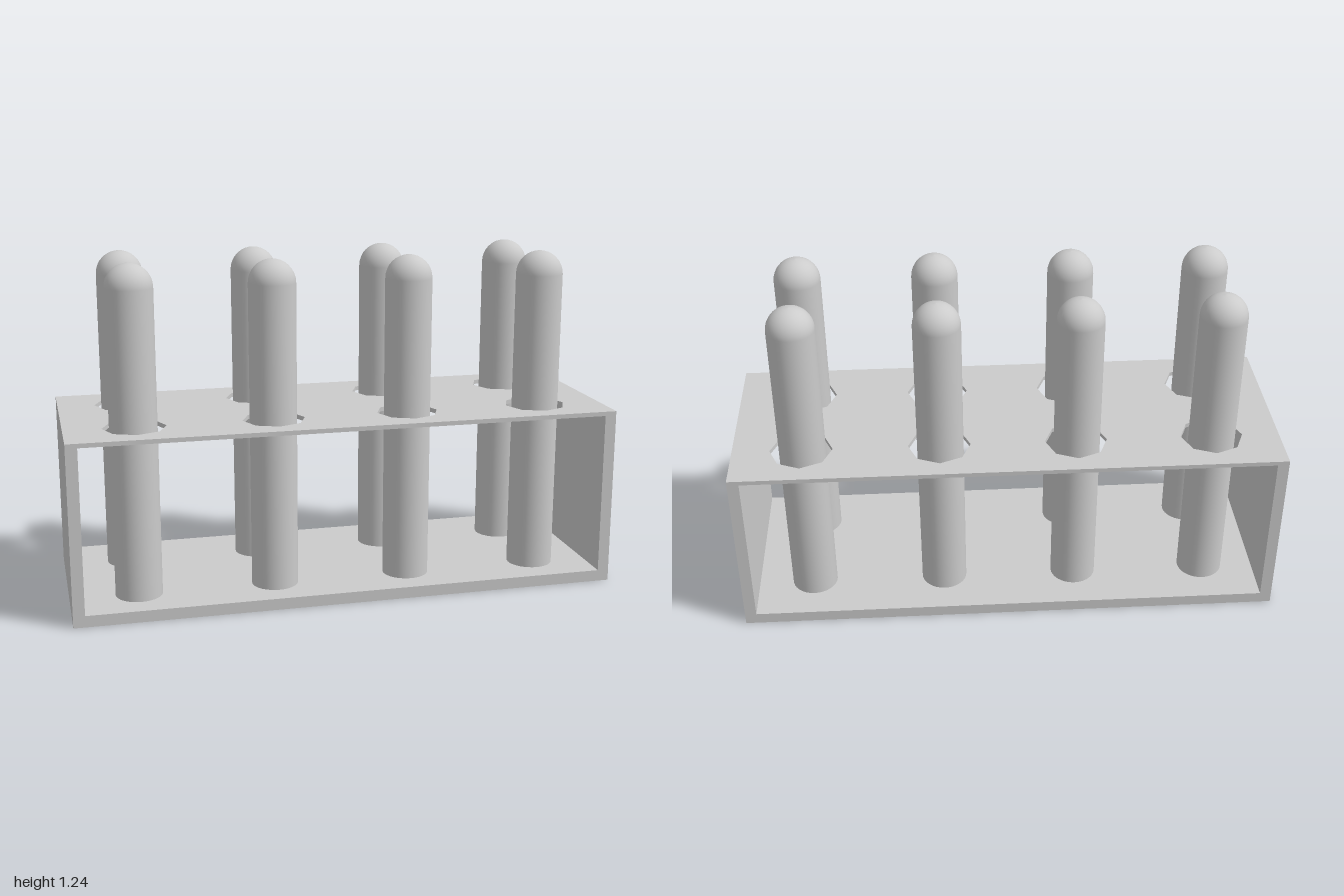
import * as THREE from 'three';

const material = new THREE.MeshStandardMaterial({ color: 0xcccccc });
const WIDTH = 2, DEPTH = 0.726, HEIGHT = 0.66;
const WALL = 0.042, PLATE = 0.016;
const COLUMNS = [-0.75, -0.25, 0.25, 0.75], ROWS = [-0.182, 0.182];
const PEG_RADIUS = 0.085, PEG_TOP = 1.24, HOLE_RADIUS = 0.114;

function polygon(points) {
  return new THREE.Shape(points.map(([x, y]) => new THREE.Vector2(x, y)));
}

// Floor and both end walls as one U-shaped extrusion
function createFrame() {
  const w = WIDTH / 2, i = w - WALL;
  const outline = polygon([
    [-w, 0], [w, 0], [w, HEIGHT], [i, HEIGHT],
    [i, WALL], [-i, WALL], [-i, HEIGHT], [-w, HEIGHT],
  ]);
  const geometry = new THREE.ExtrudeGeometry(outline, { depth: DEPTH, bevelEnabled: false });
  geometry.translate(0, 0, -DEPTH / 2);
  const frame = new THREE.Mesh(geometry, material);
  frame.name = 'frame';
  return frame;
}

// Thin top plate with octagonal holes
function createTopPlate() {
  const w = WIDTH / 2 - WALL, d = DEPTH / 2;
  const shape = polygon([[-w, -d], [w, -d], [w, d], [-w, d]]);
  for (const x of COLUMNS) {
    for (const z of ROWS) {
      const corners = [];
      for (let k = 0; k < 8; k++) {
        const a = -k * Math.PI / 4;
        corners.push(new THREE.Vector2(x + HOLE_RADIUS * Math.cos(a), z + HOLE_RADIUS * Math.sin(a)));
      }
      shape.holes.push(new THREE.Path(corners));
    }
  }
  const geometry = new THREE.ExtrudeGeometry(shape, { depth: PLATE, bevelEnabled: false });
  geometry.rotateX(-Math.PI / 2);
  geometry.translate(0, HEIGHT - PLATE, 0);
  const plate = new THREE.Mesh(geometry, material);
  plate.name = 'topPlate';
  return plate;
}

// Round peg with a hemispherical tip
function createPegGeometry() {
  const shoulder = PEG_TOP - PEG_RADIUS;
  const profile = [new THREE.Vector2(PEG_RADIUS, WALL)];
  const steps = 8;
  for (let k = 0; k <= steps; k++) {
    const a = (k / steps) * Math.PI / 2;
    const r = k === steps ? 0 : PEG_RADIUS * Math.cos(a);
    profile.push(new THREE.Vector2(r, shoulder + PEG_RADIUS * Math.sin(a)));
  }
  return new THREE.LatheGeometry(profile, 32);
}

export function createModel() {
  const model = new THREE.Group();
  model.name = 'pegRack';
  model.add(createFrame(), createTopPlate());

  // Two rows of four pegs, standing slightly off the hole centres
  const pegs = new THREE.Group();
  pegs.name = 'pegs';
  const geometry = createPegGeometry();
  for (const z of ROWS) {
    for (const x of COLUMNS) {
      const peg = new THREE.Mesh(geometry, material);
      peg.name = 'peg';
      peg.position.set(x - 0.004, 0, z + 0.011);
      pegs.add(peg);
    }
  }
  model.add(pegs);
  return model;
}
